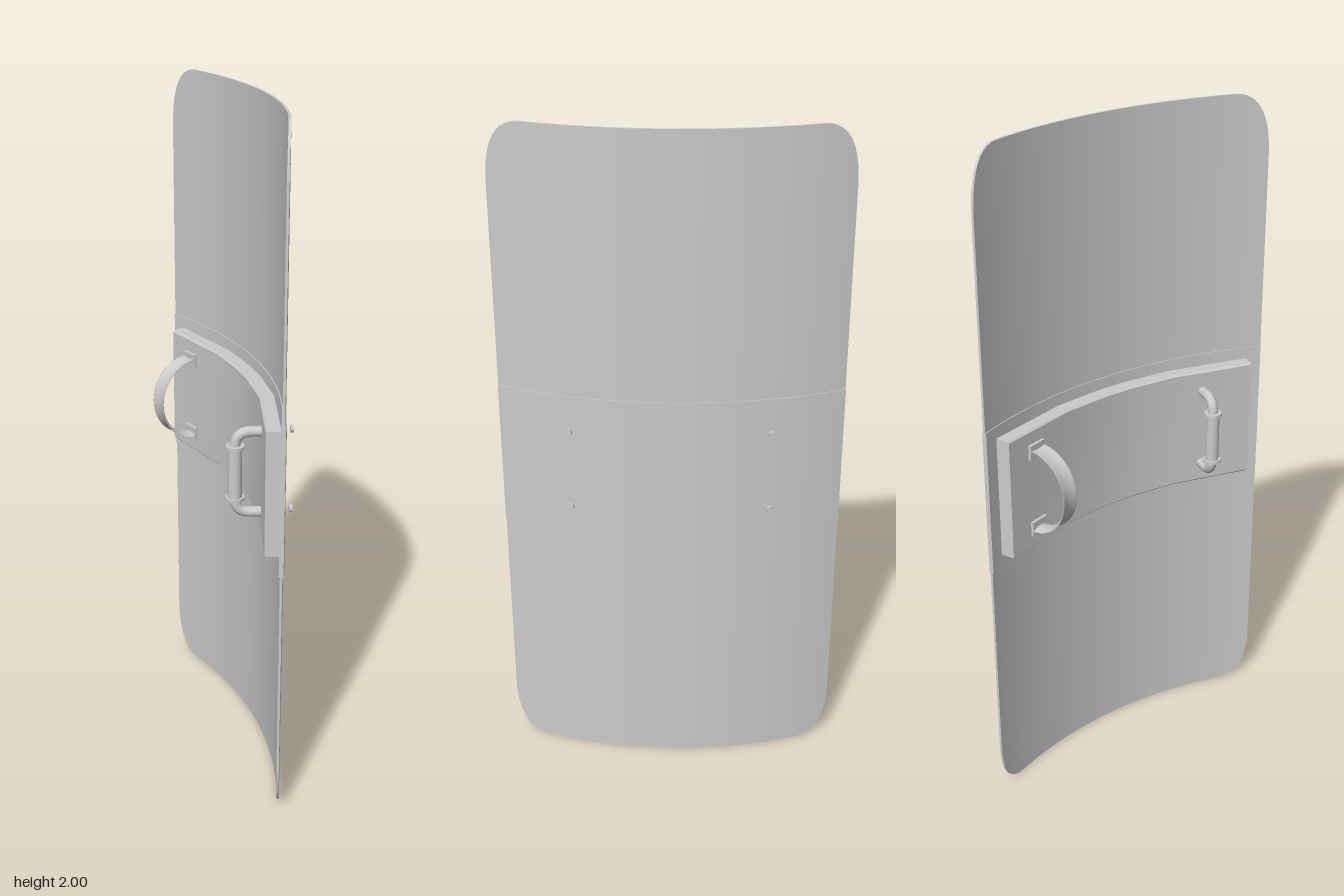
import * as THREE from 'three';
import { toCreasedNormals } from 'three/addons/utils/BufferGeometryUtils.js';
import { ParametricGeometry } from 'three/addons/geometries/ParametricGeometry.js';

const R = 1.243; // outer radius of the curved shield
const XC = 0.12 - R; // axis of the curve
const MID = 1.003; // height of the grips

const grey = new THREE.MeshStandardMaterial({ color: 0xcccccc });
const greyDouble = new THREE.MeshStandardMaterial({ color: 0xcccccc, side: THREE.DoubleSide });

function add(parent, name, geometry, material = grey) {
  const mesh = new THREE.Mesh(geometry, material);
  mesh.name = name;
  parent.add(mesh);
  return mesh;
}

// Solid swept round the shield axis: at each z a closed [radius, y] section
function sweep(columns, sectionAt) {
  const pos = [], index = [];
  let n = 0;
  for (const z of columns) {
    const a = Math.asin(z / R), section = sectionAt(z);
    n = section.length;
    for (const [r, y] of section) pos.push(XC + r * Math.cos(a), y, r * Math.sin(a));
  }
  for (let i = 0; i < columns.length - 1; i++) {
    for (let k = 0; k < n; k++) {
      const a = i * n + k, b = i * n + (k + 1) % n;
      index.push(a, b, a + n, b, b + n, a + n);
    }
  }
  const last = (columns.length - 1) * n;
  for (let k = 1; k < n - 1; k++) {
    index.push(0, k + 1, k, last, last + k, last + k + 1);
  }
  const g = new THREE.BufferGeometry();
  g.setAttribute('position', new THREE.Float32BufferAttribute(pos, 3));
  g.setIndex(index);
  return toCreasedNormals(g, 0.5);
}

const slab = (r0, r1, y0, y1) => [[r1, y0], [r1, y1], [r0, y1], [r0, y0]];
const mirrored = (half) => [...half.map((z) => -z).reverse(), 0, ...half];

// Group on the inside of the shield: local -x points inward, z along the curve
function mount(parent, name, x, z) {
  const g = new THREE.Group();
  g.name = name;
  g.position.set(x, MID, z);
  g.rotation.y = -Math.asin(z / R);
  parent.add(g);
  return g;
}

export function createModel() {
  const model = new THREE.Group();
  model.name = 'curvedShield';

  // Curved plate with rounded corners
  const half = [];
  for (let i = 1; i <= 14; i++) half.push(0.4 * i / 14);
  for (let i = 1; i <= 10; i++) {
    const t = i / 10;
    half.push(0.4 + 0.2 * t - 0.1 * t * t);
  }
  const halfHeight = (z) => {
    const s = Math.max(0, (Math.abs(z) - 0.4) / 0.1);
    const t = 1 - Math.sqrt(Math.max(0, 1 - s));
    return 1 - 0.18 * t * t;
  };
  add(model, 'plate', sweep(mirrored(half), (z) =>
    slab(R - 0.01, R - 0.003, 1 - halfHeight(z), 1 + halfHeight(z))));

  // Reinforcing band around the middle
  add(model, 'middleBand', sweep(mirrored(half), () => slab(R - 0.013, R, 0.78, 1.225)));

  // Arm pad with chamfered inner edges
  const out = R - 0.013, inn = out - 0.042, c = 0.005;
  add(model, 'armPad', sweep([-0.458, -0.2, -0.04, 0.04, 0.2, 0.458], () => [
    [out, 0.82], [out, 1.19], [inn + c, 1.19], [inn, 1.19 - c], [inn, 0.82 + c], [inn + c, 0.82],
  ]));

  // Forearm strap: a dished ribbon bent into a half ellipse
  const strap = mount(model, 'armStrap', 0.007, -0.333);
  add(strap, 'strapLoop', new ParametricGeometry((u, v, p) => {
    const t = u * Math.PI, b = v * Math.PI * 2;
    const w = Math.cos(b);
    const n = 0.004 * Math.sin(b) + 0.007 * w * w;
    p.set(-(0.113 + n) * Math.sin(t), (0.122 + n) * Math.cos(t), 0.029 * w);
  }, 32, 16), greyDouble);

  // Hand grip: bent tube with a thicker sleeve and collars
  const grip = mount(model, 'handGrip', 0.03, 0.285);
  const path = new THREE.CurvePath();
  const V = (x, y) => new THREE.Vector3(x, y, 0);
  const reach = -0.079, foot = 0.122, bend = 0.045;
  path.add(new THREE.LineCurve3(V(0.005, foot), V(reach + bend, foot)));
  path.add(new THREE.QuadraticBezierCurve3(V(reach + bend, foot), V(reach, foot), V(reach, foot - bend)));
  path.add(new THREE.LineCurve3(V(reach, foot - bend), V(reach, bend - foot)));
  path.add(new THREE.QuadraticBezierCurve3(V(reach, bend - foot), V(reach, -foot), V(reach + bend, -foot)));
  path.add(new THREE.LineCurve3(V(reach + bend, -foot), V(0.005, -foot)));
  add(grip, 'gripTube', new THREE.TubeGeometry(path, 64, 0.015, 14));
  add(grip, 'gripSleeve', new THREE.CylinderGeometry(0.02, 0.02, 0.16, 20)).position.x = reach;

  for (const s of [-1, 1]) {
    add(grip, 'gripCollar', new THREE.CylinderGeometry(0.027, 0.027, 0.008, 20))
      .position.set(reach, s * 0.078, 0);
    const flange = add(grip, 'gripFlange', new THREE.CylinderGeometry(0.028, 0.028, 0.01, 20));
    flange.rotation.z = Math.PI / 2;
    flange.position.y = s * foot;
    add(strap, 'strapFoot', new THREE.BoxGeometry(0.012, 0.045, 0.06)).position.y = s * 0.122;

    // Rivets on the outer face, in line with the grip and strap feet
    for (const side of [-1, 1]) {
      const a = side * 0.2323, r = 1.268;
      const rivet = add(model, 'rivet', new THREE.CylinderGeometry(0.011, 0.011, 0.009, 16));
      rivet.rotation.set(0, -a, Math.PI / 2, 'YXZ');
      rivet.position.set(XC + r * Math.cos(a), MID + s * foot, r * Math.sin(a));
    }
  }
  return model;
}
